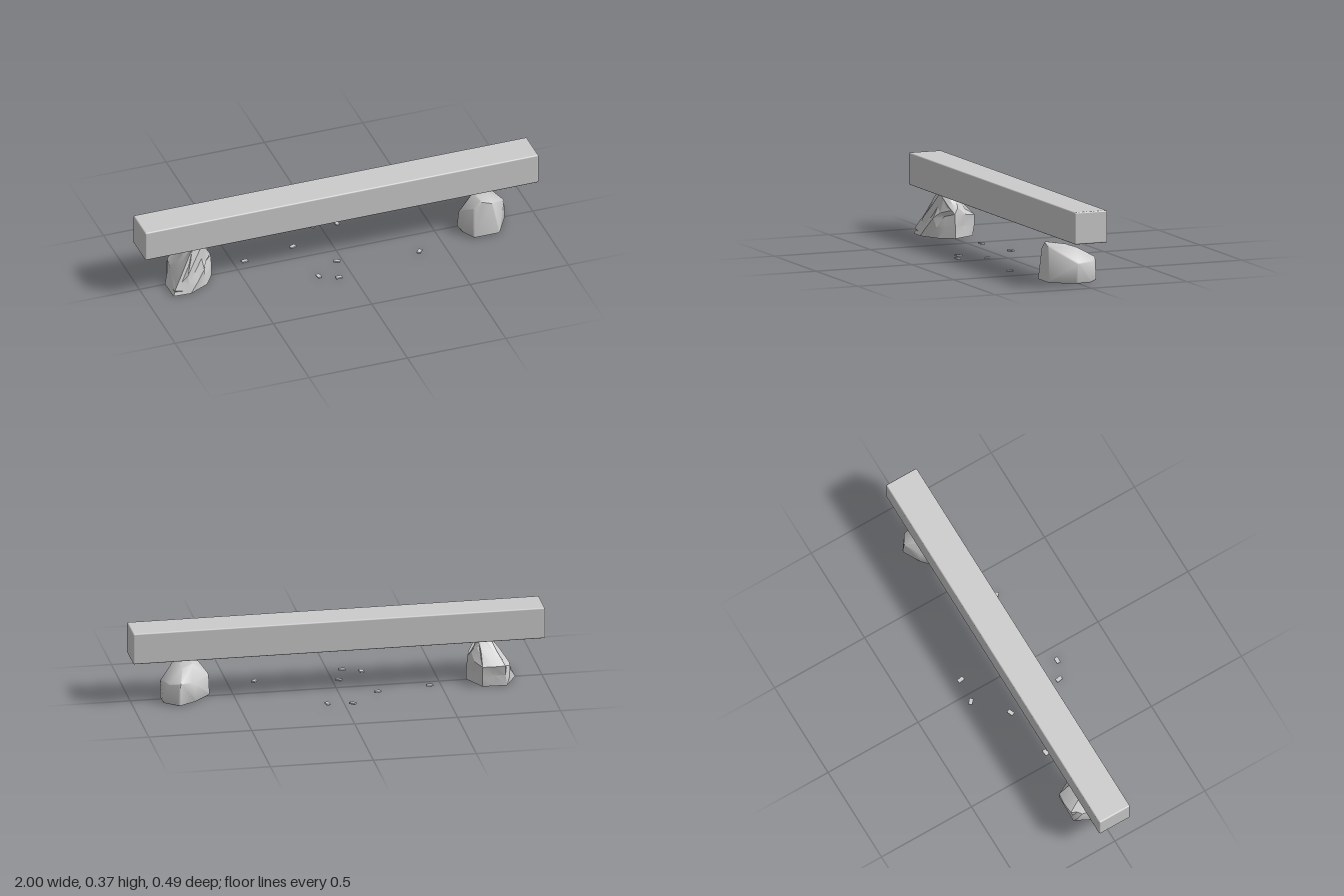
import * as THREE from 'three';
import { toCreasedNormals } from 'three/addons/utils/BufferGeometryUtils.js';
import { RoundedBoxGeometry } from 'three/addons/geometries/RoundedBoxGeometry.js';
import { ConvexGeometry } from 'three/addons/geometries/ConvexGeometry.js';

const material = new THREE.MeshStandardMaterial({ color: 0xcccccc });

function add(group, name, geometry, x = 0, y = 0, z = 0, turn = 0) {
  const mesh = new THREE.Mesh(geometry, material);
  mesh.name = name;
  mesh.position.set(x, y, z);
  mesh.rotation.y = turn;
  group.add(mesh);
}

// Hull around small spheres at the corners, giving softly worn edges
function wornRock(corners, r) {
  const ball = new THREE.IcosahedronGeometry(r, 0).getAttribute('position');
  const points = [];
  for (const [x, y, z] of corners) {
    for (let i = 0; i < ball.count; i++) {
      const p = new THREE.Vector3().fromBufferAttribute(ball, i).add(new THREE.Vector3(x, y, z));
      p.y = Math.max(p.y, 0.003);
      points.push(p);
    }
  }
  return toCreasedNormals(new ConvexGeometry(points), 0.8);
}

// Hull with every face split in four and the new points nudged, like chiselled stone
function chippedRock(corners, depth) {
  const hull = new ConvexGeometry(corners.map((c) => new THREE.Vector3(...c)));
  const pos = hull.getAttribute('position');
  const centre = new THREE.Vector3(-0.75, 0.08, 0);
  const hash = (p) => {
    const s = Math.sin(p.x * 127.1 + p.y * 311.7 + p.z * 74.7) * 437.5;
    return s - Math.floor(s);
  };
  const middle = (a, b) => {
    const m = a.clone().add(b).multiplyScalar(0.5);
    if (m.y < 0.01) return m;
    const out = m.clone().sub(centre).normalize();
    return m.addScaledVector(out, (hash(m) - 0.6) * depth);
  };
  const faces = [];
  for (let i = 0; i < pos.count; i += 3) {
    const [a, b, c] = [0, 1, 2].map((k) => new THREE.Vector3().fromBufferAttribute(pos, i + k));
    const ab = middle(a, b), bc = middle(b, c), ca = middle(c, a);
    faces.push(a, ab, ca, ab, b, bc, ca, bc, c, ab, bc, ca);
  }
  return toCreasedNormals(new THREE.BufferGeometry().setFromPoints(faces), 0.35);
}

export function createModel() {
  const model = new THREE.Group();
  model.name = 'stoneBench';

  // Long squared beam with slightly eased edges
  add(model, 'beam', new RoundedBoxGeometry(2, 0.156, 0.17, 3, 0.007), 0, 0.295, 0);

  // Smooth supporting rock
  add(model, 'leftRock', wornRock([
    [0.66, 0.01, 0.121], [0.78, 0.01, 0.121], [0.845, 0.01, 0.01], [0.843, 0.01, -0.06],
    [0.78, 0.01, -0.113], [0.70, 0.01, -0.07], [0.621, 0.01, 0.01], [0.628, 0.01, 0.06],
    [0.622, 0.1, 0.03], [0.665, 0.15, 0.105], [0.70, 0.183, 0.105], [0.75, 0.168, 0.11],
    [0.845, 0.095, 0.0], [0.70, 0.165, 0.0], [0.75, 0.155, -0.03], [0.775, 0.11, -0.11],
    [0.71, 0.10, -0.07], [0.82, 0.10, -0.08],
  ], 0.009), 0, 0, 0);

  // Rough supporting rock
  add(model, 'rightRock', chippedRock([
    [-0.868, 0.003, 0.115], [-0.78, 0.003, 0.12], [-0.68, 0.003, 0.07], [-0.632, 0.003, 0],
    [-0.69, 0.003, -0.115], [-0.81, 0.003, -0.118], [-0.87, 0.003, 0], [-0.86, 0.03, 0.113],
    [-0.79, 0.09, 0.10], [-0.70, 0.10, 0.085], [-0.638, 0.12, 0], [-0.665, 0.15, 0.03],
    [-0.69, 0.105, -0.126], [-0.80, 0.105, -0.126], [-0.83, 0.09, -0.08], [-0.835, 0.08, 0.03],
    [-0.76, 0.19, 0.055], [-0.74, 0.217, 0.045], [-0.70, 0.217, 0.05], [-0.70, 0.217, 0.0],
    [-0.745, 0.215, 0.0], [-0.68, 0.17, -0.04], [-0.77, 0.16, -0.05],
  ], 0.022), 0, 0, 0);

  // Small chips scattered on the ground: x, z, turn
  const chip = new RoundedBoxGeometry(0.032, 0.008, 0.02, 1, 0.001);
  [
    [-0.04, -0.23, -0.7], [0.08, -0.215, -1.4], [-0.185, -0.095, 0.4], [-0.445, -0.055, 0.1],
    [-0.03, 0.095, -0.6], [0.37, 0.15, 0.9], [-0.157, 0.19, -1.4], [-0.07, 0.232, 0],
  ].forEach(([x, z, turn], i) => add(model, `chip${i + 1}`, chip, x, 0.0055, z, turn));

  return model;
}
